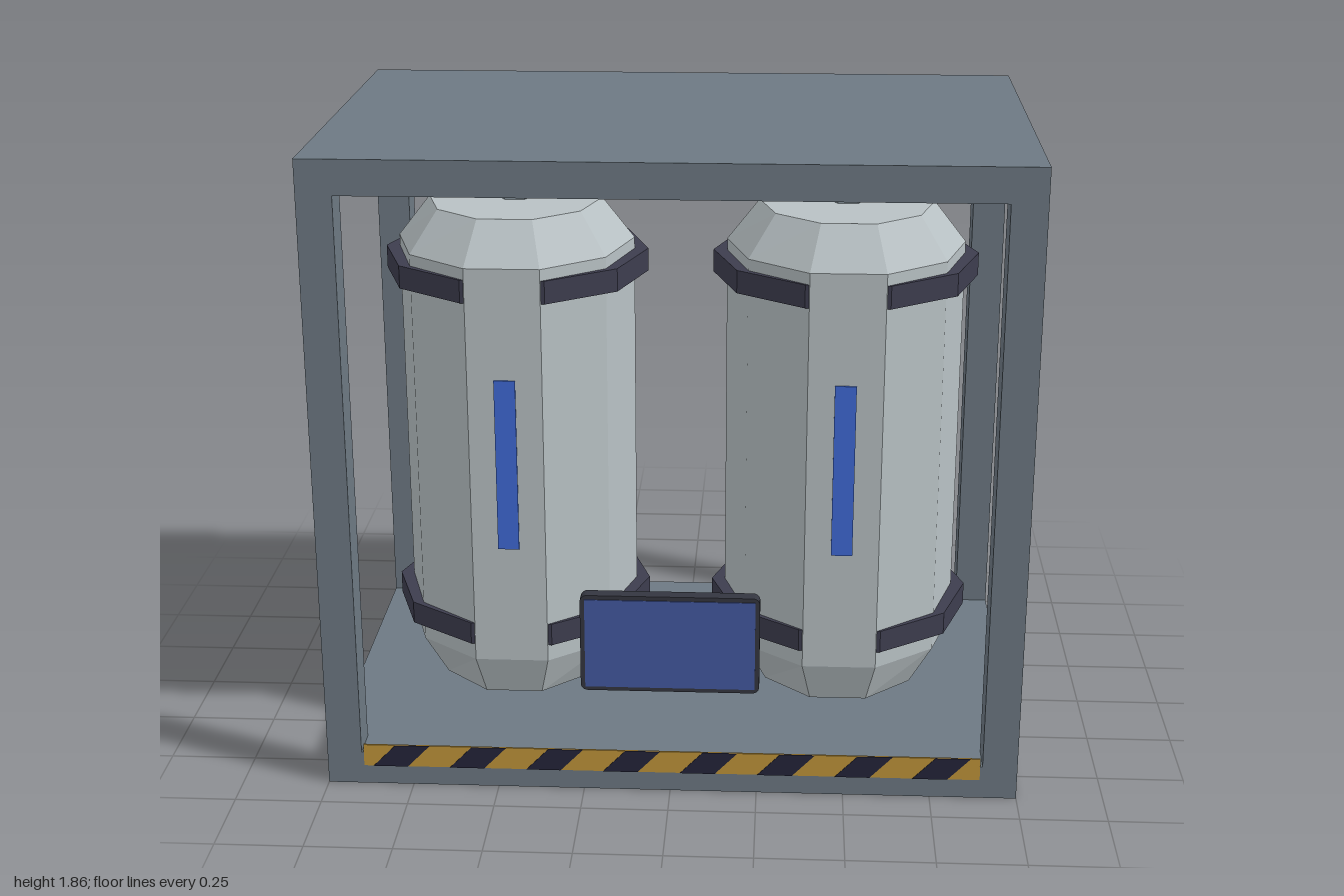
import * as THREE from 'three';

const mat = (name, color) => new THREE.MeshStandardMaterial({ name, color });

// Facet a geometry so every flat side keeps its own normal
function faceted(geometry) {
  const g = geometry.index ? geometry.toNonIndexed() : geometry;
  g.computeVertexNormals();
  return g;
}

// Move every vertex by a rule
function reshape(geometry, rule) {
  const p = geometry.attributes.position;
  const v = new THREE.Vector3();
  for (let i = 0; i < p.count; i++) {
    rule(v.fromBufferAttribute(p, i));
    p.setXYZ(i, v.x, v.y, v.z);
  }
  return faceted(geometry);
}

// Ten-sided vessel with chamfered ends: [height, x radius, z radius]
function tankGeometry() {
  const rings = [[0.16, 0.27, 0.35], [0.28, 0.35, 0.389], [1.49, 0.35, 0.389], [1.61, 0.256, 0.29]];
  const g = new THREE.CylinderGeometry(1, 1, 3, 10, 3, false, Math.PI / 10);
  return reshape(g, (v) => {
    const [y, rx, rz] = rings[Math.round(v.y + 1.5)];
    v.set(v.x * rx, y, v.z * rz);
  });
}

// Six-sided riser that folds sharply into a pipe running backwards
function pipeGeometry() {
  const g = new THREE.CylinderGeometry(0.055, 0.055, 2, 6, 2, false, Math.PI / 6);
  return reshape(g, (v) => {
    const ring = Math.round(v.y + 1);
    if (ring === 0) v.y = 1.6;
    else v.set(v.x, 1.715 + v.z, ring === 1 ? 0 : -0.47);
  });
}

function roundedRect(w, h, r) {
  const s = new THREE.Shape();
  s.absarc(w / 2 - r, h / 2 - r, r, 0, Math.PI / 2);
  s.absarc(-w / 2 + r, h / 2 - r, r, Math.PI / 2, Math.PI);
  s.absarc(-w / 2 + r, -h / 2 + r, r, Math.PI, Math.PI * 1.5);
  s.absarc(w / 2 - r, -h / 2 + r, r, Math.PI * 1.5, Math.PI * 2);
  return s;
}

export function createModel() {
  const steel = mat('frame steel', 0x6d7983);
  const shell = mat('tank shell', 0xb8c1c4);
  const strap = mat('strap dark', 0x3d3d4e);
  const pipeGrey = mat('pipe grey', 0x78848c);
  const gaugeBlue = mat('gauge blue', 0x3f6ad6);
  const screenBlue = mat('screen blue', 0x4359a2);
  const casing = mat('screen casing', 0x343640);
  const yellow = mat('hazard yellow', 0xc0953a);
  const black = mat('hazard dark', 0x24243a);

  const model = new THREE.Group();
  model.name = 'tankRack';
  const add = (parent, name, geometry, material, x = 0, y = 0, z = 0) => {
    const m = new THREE.Mesh(geometry, material);
    m.name = name;
    m.position.set(x, y, z);
    parent.add(m);
    return m;
  };

  // Rack: floor, roof and four corner posts
  const frame = new THREE.Group();
  frame.name = 'frame';
  model.add(frame);
  const slab = new THREE.BoxGeometry(2, 0.1, 1.27);
  add(frame, 'floor', slab, steel, 0, 0.05, -0.003);
  add(frame, 'roof', slab, steel, 0, 1.81, -0.003);
  const post = new THREE.BoxGeometry(0.1, 1.66, 0.1);
  for (const x of [-0.95, 0.95])
    for (const z of [-0.588, 0.582]) add(frame, 'post', post, steel, x, 0.93, z);

  // Two tanks with straps, gauge strip and outlet pipe
  const tankGeo = tankGeometry();
  const pipeGeo = pipeGeometry();
  const strapGeo = faceted(new THREE.CylinderGeometry(0.39, 0.39, 0.068, 10, 1, false, Math.PI / 10));
  strapGeo.scale(1, 1, 0.994);
  for (const [name, x] of [['rightTank', -0.487], ['leftTank', 0.487]]) {
    const tank = new THREE.Group();
    tank.name = name;
    tank.position.x = x;
    model.add(tank);
    add(tank, 'shell', tankGeo, shell);
    add(tank, 'lowerStrap', strapGeo, strap, 0, 0.364, 0);
    add(tank, 'upperStrap', strapGeo, strap, 0, 1.422, 0);
    add(tank, 'gaugeStrip', new THREE.BoxGeometry(0.062, 0.52, 0.008), gaugeBlue, 0, 0.9, 0.371);
    add(tank, 'outletPipe', pipeGeo, pipeGrey);
  }

  // Control screen at the front
  const screen = new THREE.Group();
  screen.name = 'controlScreen';
  screen.position.set(0, 0.467, 0);
  model.add(screen);
  const caseGeo = new THREE.ExtrudeGeometry(roundedRect(0.51, 0.295, 0.02),
    { depth: 0.038, bevelEnabled: false, curveSegments: 3 });
  add(screen, 'casing', caseGeo, casing, 0, 0, 0.598);
  add(screen, 'display', new THREE.BoxGeometry(0.484, 0.27, 0.006), screenBlue, 0, 0, 0.636);

  // Hazard strip along the front edge of the floor
  const hazard = new THREE.Group();
  hazard.name = 'hazardStrip';
  model.add(hazard);
  add(hazard, 'yellowPlate', new THREE.BoxGeometry(1.786, 0.067, 0.006), yellow, 0, 0.092, 0.632);
  const slash = new THREE.Shape([[0, 0], [0.1, 0], [0.165, 0.067], [0.065, 0.067]]
    .map(([x, y]) => new THREE.Vector2(x, y)));
  const slashGeo = new THREE.ExtrudeGeometry(slash, { depth: 0.003, bevelEnabled: false });
  for (let i = 0; i < 8; i++)
    add(hazard, 'darkSlash', slashGeo, black, -0.865 + i * 0.2235, 0.0585, 0.634);

  return model;
}
